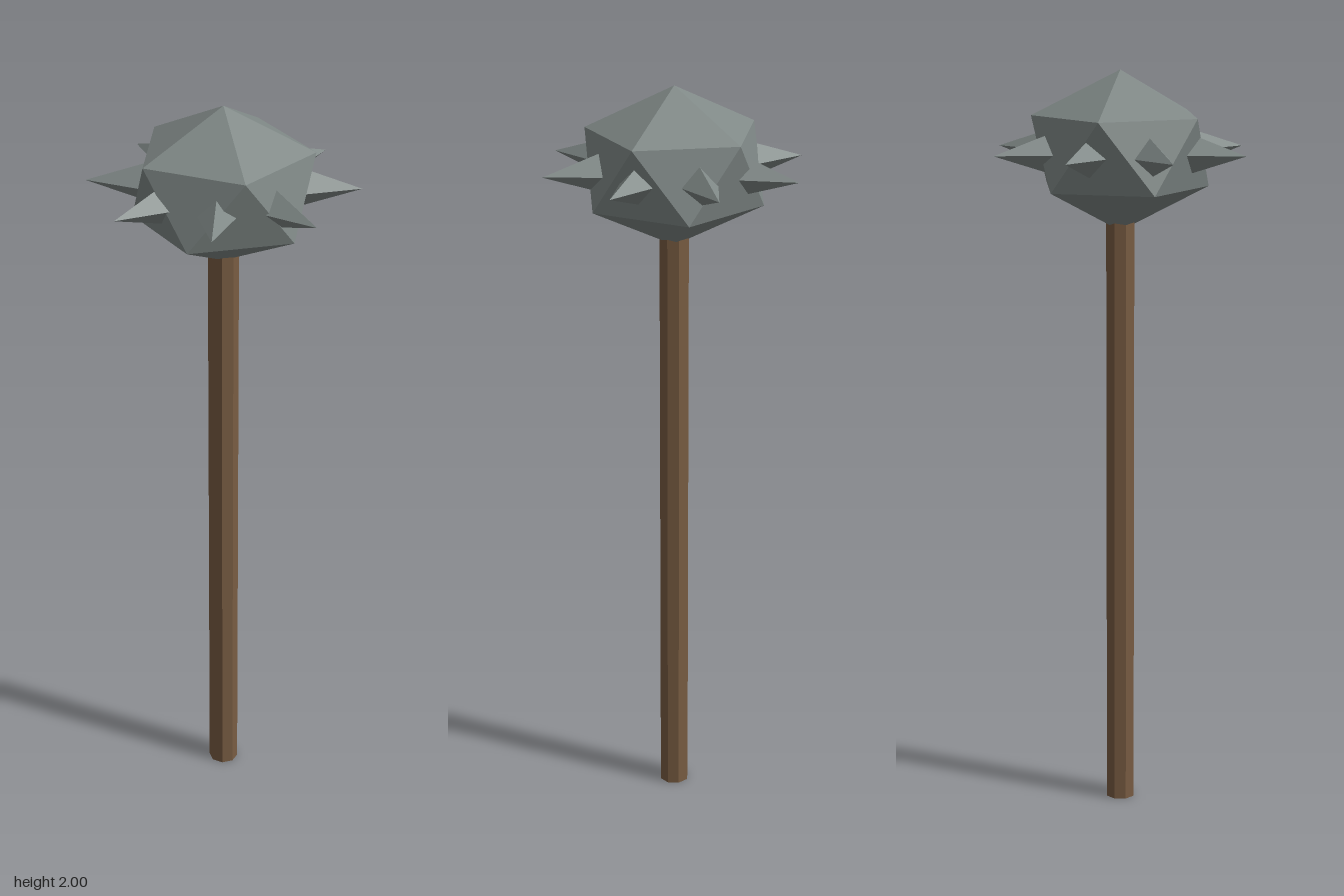
import * as THREE from 'three';

const HEAD_Y = 1.79;
const SPIKES = 8;

export function createModel() {
  const model = new THREE.Group();
  model.name = 'spikedMace';
  const wood = new THREE.MeshStandardMaterial({ color: 0x785c42, flatShading: true });
  const iron = new THREE.MeshStandardMaterial({ color: 0x7f8886, flatShading: true });

  const add = (name, geometry, material, parent = model) => {
    const mesh = new THREE.Mesh(geometry, material);
    mesh.name = name;
    parent.add(mesh);
    return mesh;
  };

  // Octagonal wooden shaft, ending just inside the head
  const shaftHeight = 1.64;
  add('shaft', new THREE.CylinderGeometry(0.04, 0.04, shaftHeight, 8), wood)
    .position.y = shaftHeight / 2;

  // Slightly squashed icosahedron, standing on one of its corners
  const golden = (1 + Math.sqrt(5)) / 2;
  const ball = new THREE.IcosahedronGeometry(0.26, 0);
  ball.rotateZ(-Math.atan(1 / golden));
  ball.scale(1, 0.21 / 0.26, 1);
  add('head', ball, iron).position.y = HEAD_Y;

  // Ring of four-sided spikes, rooted inside the head
  const spikes = new THREE.Group();
  spikes.name = 'spikes';
  spikes.position.y = HEAD_Y;
  model.add(spikes);
  const spike = new THREE.ConeGeometry(0.06, 0.18, 4);
  spike.rotateZ(-Math.PI / 2);
  spike.translate(0.26, 0, 0);
  for (let i = 0; i < SPIKES; i++) {
    add(`spike${i + 1}`, spike, iron, spikes).rotation.y = (i / SPIKES) * Math.PI * 2;
  }

  return model;
}
